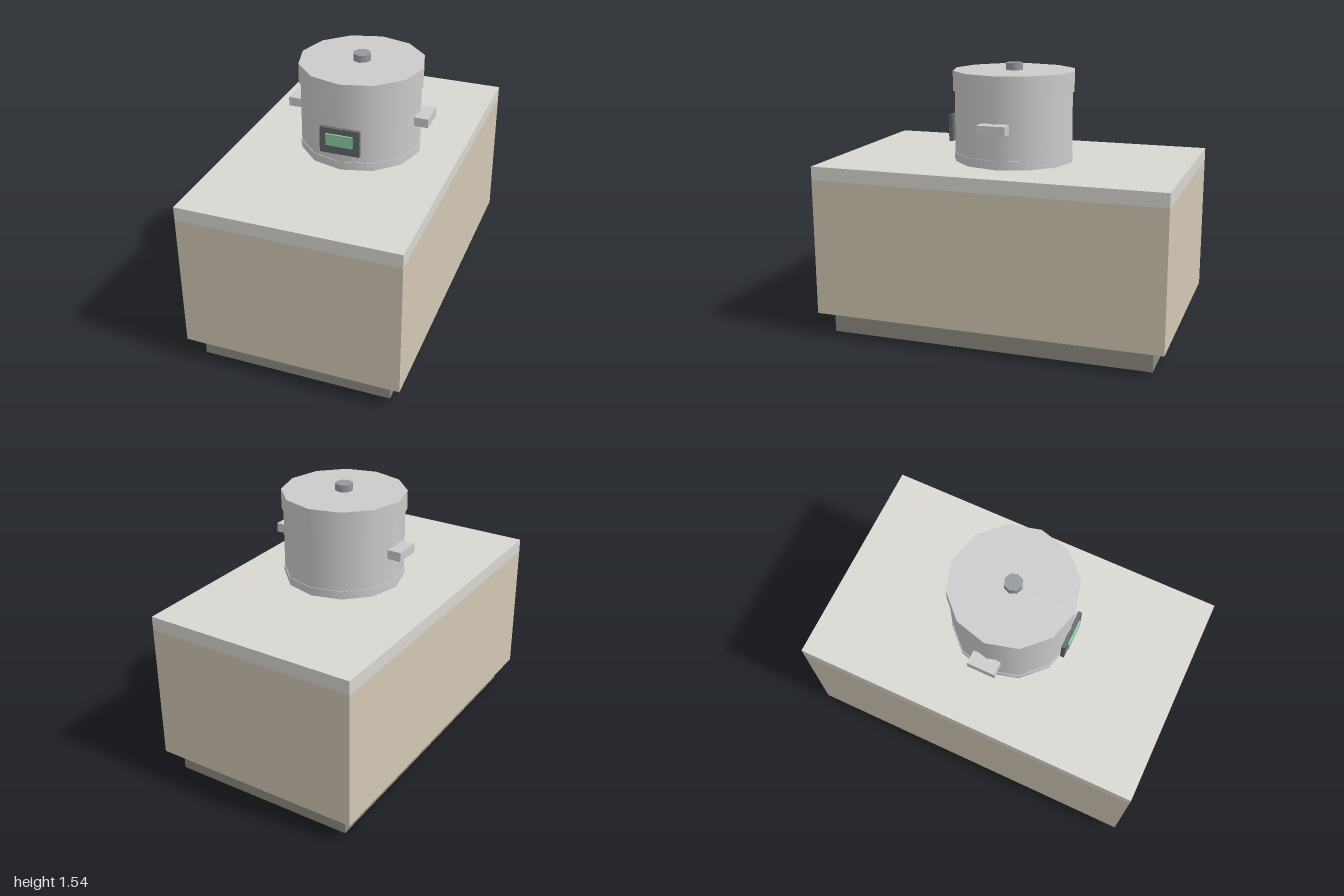
import * as THREE from 'three';

export function createModel() {
  const model = new THREE.Group();

  const add = (parent, name, geometry, color, x, y, z) => {
    const mesh = new THREE.Mesh(geometry, new THREE.MeshStandardMaterial({ color }));
    mesh.name = name;
    mesh.position.set(x, y, z);
    parent.add(mesh);
    return mesh;
  };
  // Box and cylinder placed by their bottom and top heights
  const box = (parent, name, color, w, d, y0, y1, x = 0, z = 0) =>
    add(parent, name, new THREE.BoxGeometry(w, y1 - y0, d), color, x, (y0 + y1) / 2, z);
  const drum = (parent, name, color, r, sides, y0, y1) =>
    add(parent, name, new THREE.CylinderGeometry(r, r, y1 - y0, sides), color, 0, (y0 + y1) / 2, 0);

  // Counter
  const counter = new THREE.Group();
  counter.name = 'counter';
  box(counter, 'toeKick', 0x8f897f, 1.09, 1.86, 0, 0.128);
  box(counter, 'cabinet', 0xd2c8b5, 1.235, 2, 0.128, 0.91);
  box(counter, 'countertop', 0xd8d7d1, 1.235, 2, 0.91, 0.988);

  // Cooker, slightly off centre on the counter
  const cooker = new THREE.Group();
  cooker.name = 'cooker';
  cooker.position.x = 0.046;
  drum(cooker, 'pot', 0xcccccc, 0.342, 12, 0.988, 1.39);
  drum(cooker, 'baseRing', 0xc4c4c4, 0.346, 12, 1.003, 1.037);
  drum(cooker, 'lid', 0xcccac8, 0.352, 12, 1.388, 1.5);
  drum(cooker, 'lidKnob', 0x94989c, 0.051, 8, 1.5, 1.54);

  // Side handles
  for (const [name, side] of [['leftHandle', 1], ['rightHandle', -1]]) {
    box(cooker, name, 0xc6c5c2, 0.08, 0.16, 1.188, 1.24, side * 0.37);
  }

  // Control panel and display
  box(cooker, 'controlPanel', 0x62676a, 0.226, 0.022, 1.09, 1.24, 0, 0.347);
  box(cooker, 'display', 0x8ccba2, 0.152, 0.016, 1.14, 1.208, 0, 0.36);

  model.add(counter, cooker);
  return model;
}
